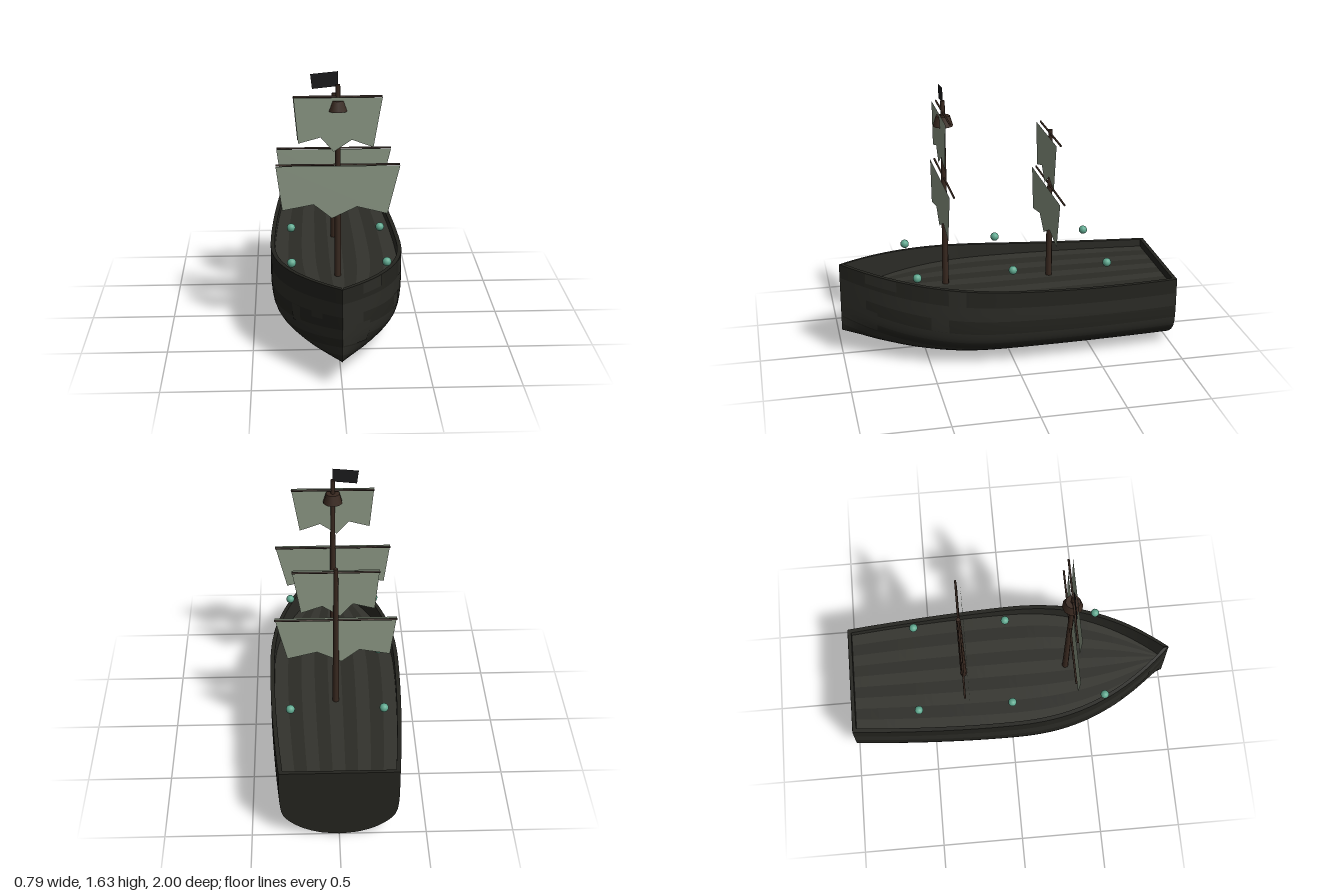
import * as THREE from 'three';

const mat = (color) => new THREE.MeshStandardMaterial({ color, side: THREE.DoubleSide });
const darkWood = mat(0x24241f), midWood = mat(0x2b2b26), deckWood = mat(0x33332d);
const mastWood = mat(0x38281f), sailCloth = mat(0x8b9784), flagCloth = mat(0x1a1a1c), lampGlass = mat(0x5fa88f);

// Hull lines: half width, sheer (rim height) and keel height along z
const halfWidth = (z) => (z > 0 ? 0.395 * (1 - z ** 2.36) : 0.395 - 0.055 * (-z) ** 1.8);
const sheer = (z) => 0.457 + 0.133 * ((z + 1) / 2) ** 2.2;
const keel = (z) => (z > 0.1 ? 0.16 * ((z - 0.1) / 0.9) ** 2.2 : 0);
const DECK_Y = 0.41;

// Half cross-section from keel to rim, as fractions of width and height
const section = new THREE.SplineCurve([
  [0, 0], [0.31, 0.025], [0.6, 0.1], [0.82, 0.21], [0.94, 0.32], [0.985, 0.45], [1, 0.62], [1, 0.8], [1, 1],
].map(([x, y]) => new THREE.Vector2(x, y)));

// Point on the hull: a runs from keel (0) to rim (1)
function hullPoint(z, a, side) {
  const p = section.getPoint(a);
  return [side * p.x * halfWidth(z), keel(z) + p.y * (sheer(z) - keel(z)), z];
}

// Grid surface; each strip along u takes the material picked by its v index
function surface(name, fn, nu, nv, materials, pick = () => 0) {
  const pos = [], idx = [];
  for (let j = 0; j <= nv; j++) for (let i = 0; i <= nu; i++) pos.push(...fn(i / nu, j / nv));
  const geo = new THREE.BufferGeometry();
  for (let j = 0; j < nv; j++) {
    geo.addGroup(idx.length, nu * 6, pick(j));
    for (let i = 0; i < nu; i++) {
      const a = j * (nu + 1) + i, b = a + nu + 1;
      idx.push(a, a + 1, b, a + 1, b + 1, b);
    }
  }
  geo.setAttribute('position', new THREE.Float32BufferAttribute(pos, 3));
  geo.setIndex(idx);
  geo.computeVertexNormals();
  const mesh = new THREE.Mesh(geo, materials);
  mesh.name = name;
  return mesh;
}

function part(name, geo, material, x, y, z) {
  const mesh = new THREE.Mesh(geo, material);
  mesh.name = name;
  mesh.position.set(x, y, z);
  return mesh;
}

function flat(points) {
  return new THREE.ShapeGeometry(new THREE.Shape(points.map(([x, y]) => new THREE.Vector2(x, y))));
}

function buildHull() {
  const g = new THREE.Group();
  g.name = 'hull';
  // Planked outer shell
  g.add(surface('hullShell', (u, v) => hullPoint(-1 + 2 * u, Math.abs(1 - 2 * v), v < 0.5 ? 1 : -1),
    40, 32, [darkWood, midWood], (j) => (Math.min(j, 31 - j) >> 1) % 2));
  // Flat stern
  g.add(surface('transom', (u, v) => {
    const [x, y, z] = hullPoint(-1, u, 1);
    return [x * (2 * v - 1), y, z];
  }, 16, 8, [darkWood]));

  // Inside of the bulwark, set in from the shell
  const innerZ = (u) => -0.98 + 1.95 * u;
  const innerX = (u) => Math.max(halfWidth(innerZ(u)) - 0.025, 0);
  for (const side of [1, -1]) {
    const dir = (v) => (side > 0 ? v : 1 - v);
    g.add(surface('bulwark', (u, v) => [side * innerX(u),
      THREE.MathUtils.lerp(DECK_Y, sheer(-1 + 2 * u), dir(v)), innerZ(u)], 40, 1, [midWood]));
    g.add(surface('rail', (u, v) => {
      const z = -1 + 2 * u, k = dir(v);
      return [side * THREE.MathUtils.lerp(innerX(u), halfWidth(z), k), sheer(z),
        THREE.MathUtils.lerp(innerZ(u), z, k)];
    }, 40, 1, [darkWood]));
  }
  g.add(part('sternRail', new THREE.BoxGeometry(0.67, 0.0465, 0.022), darkWood, 0, 0.433, -0.988));
  // Deck planks
  g.add(surface('deck', (u, v) => [innerX(u) * (2 * v - 1), DECK_Y, innerZ(u)],
    40, 9, [deckWood, midWood], (j) => j % 2));

  // Repair boards on the bow: z range, girth range, side
  for (const [z0, z1, a0, a1, side] of [
    [0.86, 0.995, 0.66, 0.85, 1], [0.69, 0.86, 0.91, 0.99, 1], [0.3, 0.4, 0.875, 0.99, 1],
    [0.4, 0.5, 0.63, 0.76, 1], [0.8, 0.995, 0.4, 0.66, 1],
    [0.8, 0.88, 0.7, 0.86, -1], [0.62, 0.7, 0.6, 0.75, -1],
  ]) {
    g.add(surface('hullPatch', (u, v) => {
      const k = side > 0 ? 1 - v : v;
      const [x, y, z] = hullPoint(z0 + (z1 - z0) * u, a0 + (a1 - a0) * k, side);
      return [x + side * 0.003, y, z];
    }, 4, 4, [midWood]));
  }
  return g;
}

// Square sail with a torn lower edge, hung from its yard
function buildSail(halfSpan, y, z) {
  const g = new THREE.Group();
  g.name = 'sailAndYard';
  const yard = part('yard', new THREE.CylinderGeometry(0.006, 0.006, halfSpan * 2, 8), mastWood, 0, y, z);
  yard.rotation.z = Math.PI / 2;
  const k = halfSpan / 0.355;
  const outline = [[-0.355, 0], [-0.32, -0.265], [-0.14, -0.23], [-0.035, -0.315],
    [0.11, -0.245], [0.285, -0.29], [0.355, 0]];
  g.add(yard, part('sail', flat(outline.map(([px, py]) => [px * k, py])), sailCloth, 0, y, z + 0.026));
  return g;
}

function buildMast(name, top, z, yards) {
  const g = new THREE.Group();
  g.name = name;
  const h = top - DECK_Y;
  g.add(part('mastPole', new THREE.CylinderGeometry(0.013, 0.02, h, 8), mastWood, 0, DECK_Y + h / 2, z));
  for (const [halfSpan, y] of yards) g.add(buildSail(halfSpan, y, z));
  return g;
}

export function createModel() {
  const ship = new THREE.Group();
  ship.name = 'sailingShip';
  ship.add(buildHull());

  const foreMast = buildMast('foreMast', 1.56, 0.36, [[0.25, 1.49], [0.355, 1.09]]);
  foreMast.add(part('crowsNest', new THREE.CylinderGeometry(0.042, 0.06, 0.06, 10), mastWood, 0, 1.44, 0.36));
  foreMast.add(part('flag', flat([[0, 1.55], [0, 1.635], [-0.155, 1.62], [-0.145, 1.535]]), flagCloth, 0, 0, 0.36));
  ship.add(foreMast, buildMast('aftMast', 1.345, -0.285, [[0.25, 1.32], [0.355, 0.995]]));

  // Glowing lamps floating along both rails
  for (const x of [-0.27, 0.27]) {
    for (const z of [-0.575, 0, 0.57]) {
      ship.add(part('lamp', new THREE.SphereGeometry(0.026, 16, 12), lampGlass, x, 0.577, z));
    }
  }
  return ship;
}
